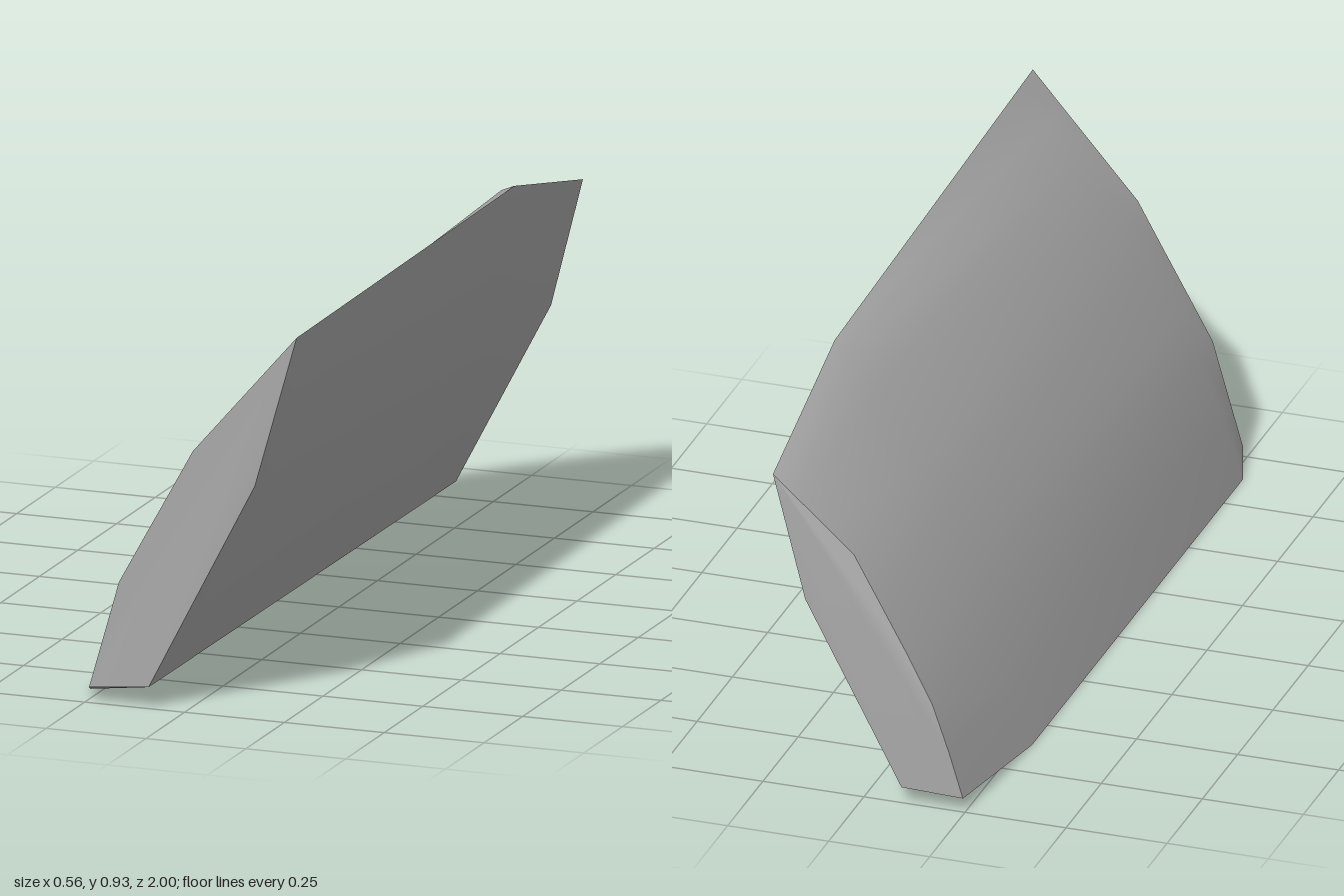
import * as THREE from 'three';
import { toCreasedNormals } from 'three/addons/utils/BufferGeometryUtils.js';

// Each section runs up the bulged left side (0-8), then down the flat right side (9, 10).
const FRONT = [
  [-0.245, 0.033], [-0.21, 0.155], [-0.17, 0.295], [-0.115, 0.395], [-0.05, 0.512], [0.015, 0.63],
  [0.125, 0.757], [0.2, 0.843], [0.275, 0.93], [0.17, 0.56], [-0.09, 0.052],
].map(([x, y], i) => new THREE.Vector3(x, y, i === 10 ? 1 : 0.985));

const BACK = [
  [-0.245, 0.035], [-0.21, 0.15], [-0.17, 0.265], [-0.105, 0.38, -0.99], [-0.035, 0.495, -0.98], [0.035, 0.61, -0.97],
  [0.1, 0.675, -0.98], [0.165, 0.74, -0.99], [0.225, 0.803], [0.145, 0.49], [-0.093, 0.04],
].map(([x, y, z = -1]) => new THREE.Vector3(x, y, z));

// Fullest section, towards the back
const BULGE = [
  [-0.28, 0], [-0.24, 0.13], [-0.175, 0.297], [-0.13, 0.41], [-0.05, 0.56], [0.015, 0.655],
  [0.135, 0.825], [0.21, 0.9], [0.247, 0.917],
].map(([x, y], i) => new THREE.Vector3(x, y, -0.61 + 0.014 * i));

// How much of the bulge is already reached just behind the front face
const SWELL = [1, 1, 0.8, 0.6, 0.45, 0.3, 0.2, 0.1, 0.07];

function slabGeometry() {
  const nearFront = FRONT.map((p, i) => {
    if (i > 8) return p.clone().lerp(BACK[i], 0.055);
    const q = p.clone().lerp(BULGE[i], SWELL[i]);
    q.z = 0.885;
    return q;
  });
  const nearBack = FRONT.map((p, i) => (i > 8 ? p.clone().lerp(BACK[i], 0.77) : BULGE[i]));
  const rings = [FRONT, nearFront, nearBack, BACK];
  const n = FRONT.length;
  const points = [];

  // Skin between neighbouring sections
  for (let r = 0; r < rings.length - 1; r++) {
    for (let i = 0; i < n; i++) {
      const j = (i + 1) % n;
      const a = rings[r][i], b = rings[r][j], c = rings[r + 1][j], d = rings[r + 1][i];
      points.push(a, b, c, a, c, d);
    }
  }
  // End faces, fanned from the top corner
  const fan = [9, 10, 0, 1, 2, 3, 4, 5];
  for (let k = 0; k < fan.length - 1; k++) {
    points.push(FRONT[8], FRONT[fan[k]], FRONT[fan[k + 1]].clone());
    points.push(BACK[8], BACK[fan[k + 1]], BACK[fan[k]]);
    // Front and back fans wind in opposite directions
    const m = points.length;
    [points[m - 5], points[m - 4]] = [points[m - 4], points[m - 5]];
    [points[m - 2], points[m - 1]] = [points[m - 1], points[m - 2]];
  }
  return toCreasedNormals(new THREE.BufferGeometry().setFromPoints(points), 0.65);
}

export function createModel() {
  const group = new THREE.Group();
  group.name = 'leaningSlab';
  const stone = new THREE.MeshStandardMaterial({ color: 0xa8a8a8 });
  stone.name = 'stone grey';
  const slab = new THREE.Mesh(slabGeometry(), stone);
  slab.name = 'slab';
  group.add(slab);
  return group;
}
